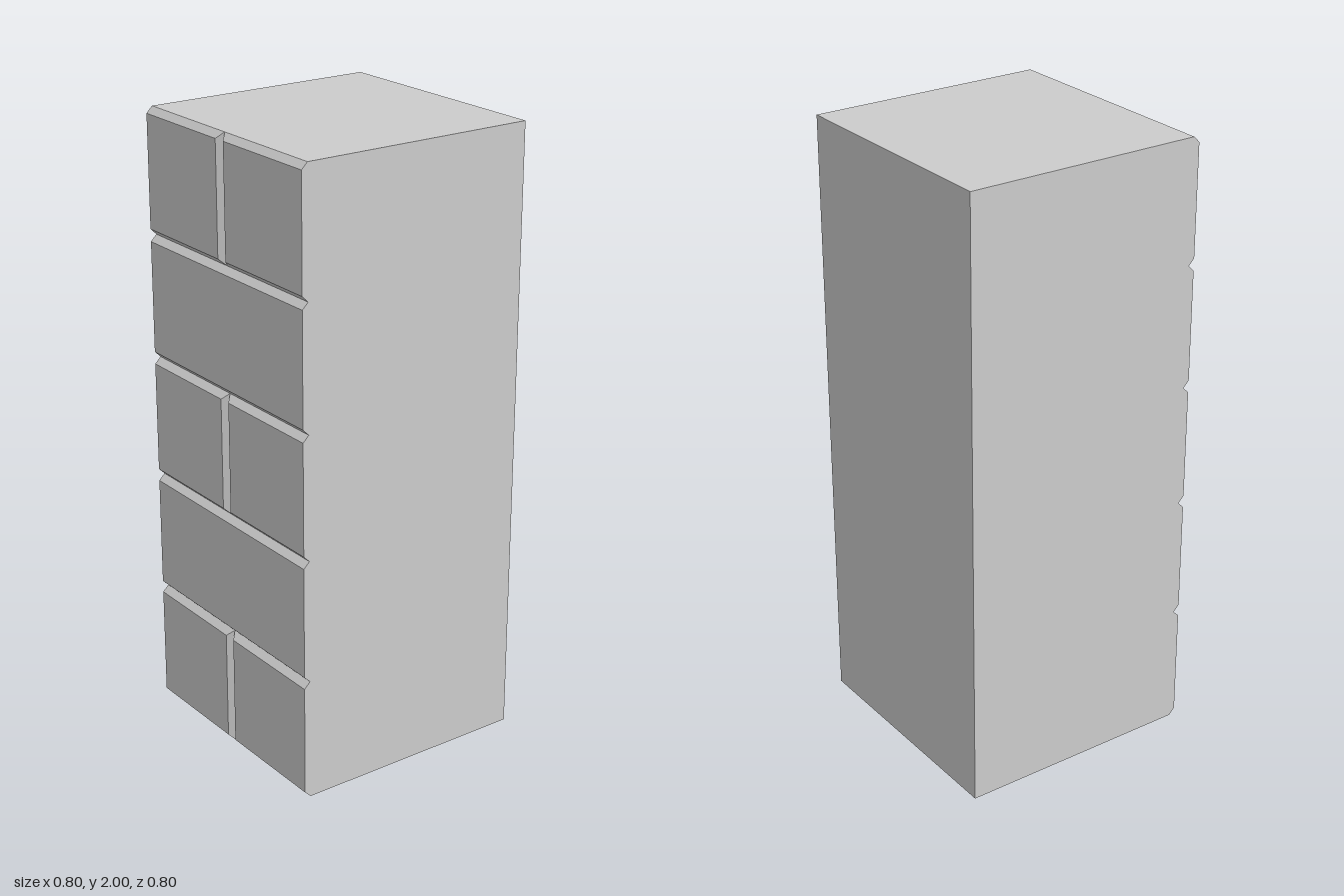
import * as THREE from 'three';

const HALF = 0.4, HEIGHT = 2, ROWS = 5, ROW = HEIGHT / ROWS;
const GROOVE = 0.02;   // depth and half width of the mortar grooves
const SPLIT = -0.005;  // z of the vertical joints

const material = new THREE.MeshStandardMaterial({ color: 0xcccccc, side: THREE.DoubleSide });

function addMesh(group, name, geometry) {
  const mesh = new THREE.Mesh(geometry, material);
  mesh.name = name;
  group.add(mesh);
  return mesh;
}

// Brick face on the -x side: a raised rectangle with bevels down to the grooves
function brickGeometry(y0, y1, z0, z1, bevelStart, bevelEnd) {
  const base = [[y0, z0], [y0, z1], [y1, z1], [y1, z0]]
    .map(([y, z]) => [-HALF + GROOVE, y, z]);
  const a = z0 + bevelStart, b = z1 - bevelEnd;
  const face = [[y0 + GROOVE, a], [y0 + GROOVE, b], [y1 - GROOVE, b], [y1 - GROOVE, a]]
    .map(([y, z]) => [-HALF, y, z]);
  const positions = [];
  const quad = (p, q, r, s) => positions.push(...p, ...q, ...r, ...p, ...r, ...s);
  quad(...face);
  for (let i = 0; i < 4; i++) {
    // Ends flush with the front and back walls need no bevel
    if ((i === 1 && !bevelEnd) || (i === 3 && !bevelStart)) continue;
    const j = (i + 1) % 4;
    quad(base[i], base[j], face[j], face[i]);
  }
  const geometry = new THREE.BufferGeometry();
  geometry.setAttribute('position', new THREE.Float32BufferAttribute(positions, 3));
  geometry.computeVertexNormals();
  return geometry;
}

// Wall outline with V notches where the horizontal grooves run out
function wallShape() {
  const shape = new THREE.Shape();
  shape.moveTo(-HALF + GROOVE, 0);
  shape.lineTo(HALF, 0);
  shape.lineTo(HALF, HEIGHT);
  shape.lineTo(-HALF + GROOVE, HEIGHT);
  for (let r = ROWS - 1; r >= 0; r--) {
    shape.lineTo(-HALF, (r + 1) * ROW - GROOVE);
    shape.lineTo(-HALF, r * ROW + GROOVE);
    if (r > 0) shape.lineTo(-HALF + GROOVE, r * ROW);
  }
  return shape;
}

export function createModel() {
  const model = new THREE.Group();
  model.name = 'brickPillar';

  // Front and back walls
  addMesh(model, 'frontWall', new THREE.ShapeGeometry(wallShape())).position.z = HALF;
  const back = new THREE.ShapeGeometry(wallShape());
  const index = back.index.array;
  for (let i = 0; i < index.length; i += 3) [index[i], index[i + 1]] = [index[i + 1], index[i]];
  back.computeVertexNormals();
  addMesh(model, 'backWall', back).position.z = -HALF;

  // Plain side wall
  addMesh(model, 'plainWall', new THREE.PlaneGeometry(2 * HALF, HEIGHT)
    .rotateY(Math.PI / 2).translate(HALF, HEIGHT / 2, 0));

  // Top; the underside stays open
  addMesh(model, 'top', new THREE.PlaneGeometry(2 * HALF - GROOVE, 2 * HALF)
    .rotateX(-Math.PI / 2).translate(GROOVE / 2, HEIGHT, 0));

  // Brick courses: two half bricks alternate with one full brick
  const bricks = new THREE.Group();
  bricks.name = 'brickWall';
  for (let r = 0; r < ROWS; r++) {
    const y0 = r * ROW, y1 = y0 + ROW;
    if (r % 2 === 0) {
      addMesh(bricks, 'halfBrick', brickGeometry(y0, y1, -HALF, SPLIT, 0, GROOVE));
      addMesh(bricks, 'halfBrick', brickGeometry(y0, y1, SPLIT, HALF, GROOVE, 0));
    } else {
      addMesh(bricks, 'fullBrick', brickGeometry(y0, y1, -HALF, HALF, 0, 0));
    }
  }
  model.add(bricks);
  return model;
}
